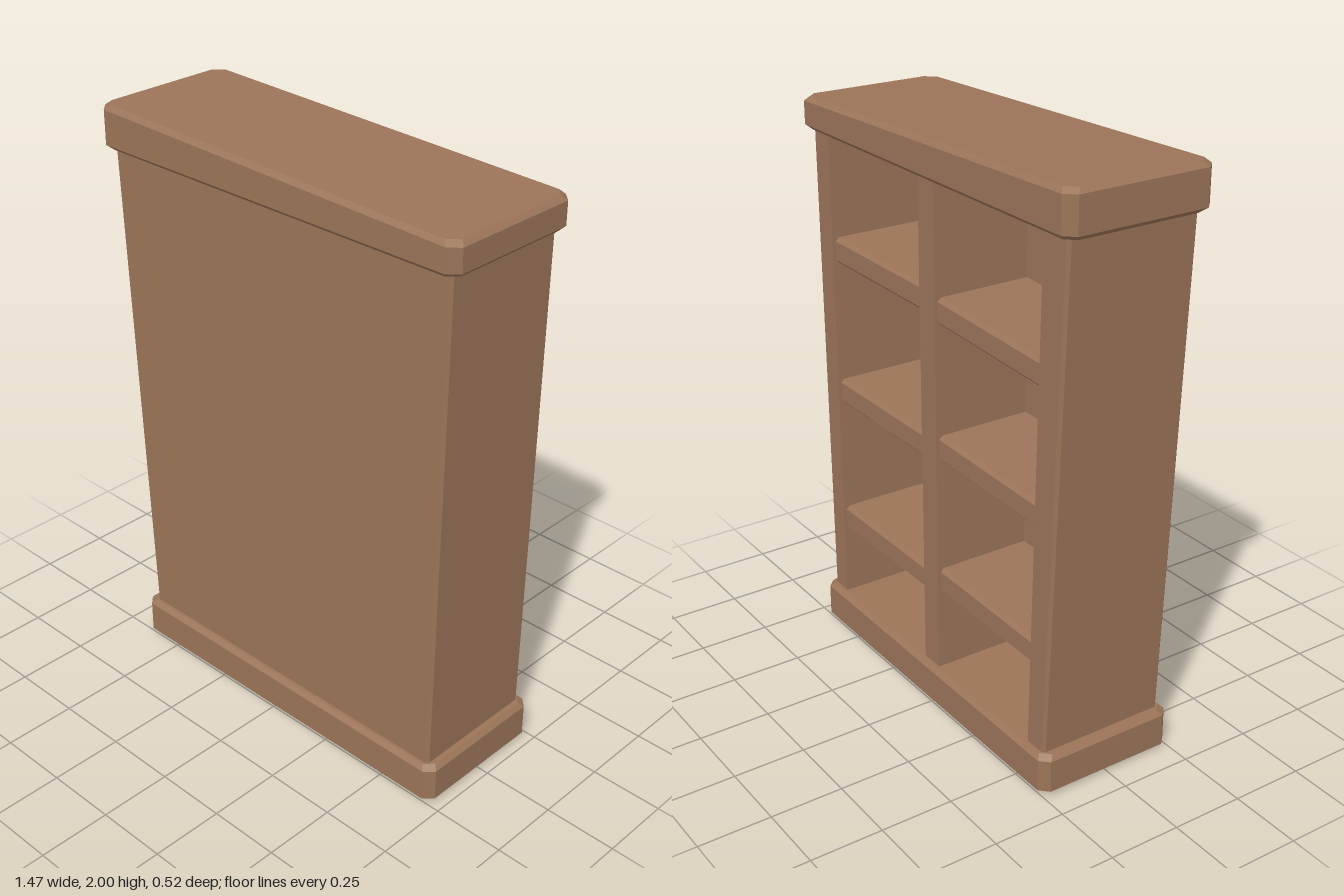
import * as THREE from 'three';

const wood = new THREE.MeshStandardMaterial({ color: 0x9b7458 });
wood.name = 'brown wood';

// Skin a stack of rings (bottom to top, each counter-clockwise from above) with flat faces
function loft(name, rings, capped = true) {
  const pos = [];
  const tri = (a, b, c) => pos.push(...a, ...b, ...c);
  const n = rings[0].length;
  for (let r = 0; r < rings.length - 1; r++) {
    for (let i = 0; i < n; i++) {
      const j = (i + 1) % n, lo = rings[r], hi = rings[r + 1];
      tri(lo[i], lo[j], hi[j]);
      tri(lo[i], hi[j], hi[i]);
    }
  }
  if (capped) {
    const lo = rings[0], hi = rings[rings.length - 1];
    for (let i = 1; i < n - 1; i++) {
      tri(lo[0], lo[i + 1], lo[i]);
      tri(hi[0], hi[i], hi[i + 1]);
    }
  }
  const geo = new THREE.BufferGeometry();
  geo.setAttribute('position', new THREE.Float32BufferAttribute(pos, 3));
  geo.computeVertexNormals();
  const mesh = new THREE.Mesh(geo, wood);
  mesh.name = name;
  return mesh;
}

// Rectangle with cut corners; its height runs from yl at x0 to yr at x1
function ring(x0, x1, z0, z1, yl, yr, cut) {
  const y = (x) => yl + (yr - yl) * (x - x0) / (x1 - x0);
  return [
    [x0 + cut, z1], [x1 - cut, z1], [x1, z1 - cut], [x1, z0 + cut],
    [x1 - cut, z0], [x0 + cut, z0], [x0, z0 + cut], [x0, z1 - cut],
  ].map(([x, z]) => [x, y(x), z]);
}

// Comb-shaped plan: solid front panel, two side walls and a centre divider
function bodyRing(y, xl, xr, innerL, innerR, div0, div1) {
  const b = 0.01, zf = 0.23, zb = -0.23, zi = 0.12;
  return [
    [xl + b, zf], [xr - b, zf], [xr, zf - b], [xr, zb + b], [xr - b, zb],
    [innerR, zb], [innerR, zi], [div1, zi], [div1, zb],
    [div0, zb], [div0, zi], [innerL, zi], [innerL, zb],
    [xl + b, zb], [xl, zb + b], [xl, zf - b],
  ].map(([x, z]) => [x, y, z]);
}

export function createModel() {
  const model = new THREE.Group();
  model.name = 'bookcase';

  // Leaning carcass, wider at the top
  model.add(loft('carcass', [
    bodyRing(0.1, -0.617, 0.682, -0.535, 0.6, -0.02, 0.065),
    bodyRing(1.88, -0.7, 0.7, -0.585, 0.605, -0.025, 0.06),
  ], false));

  // Plinth with bevelled edges
  model.add(loft('plinth', [
    ring(-0.62, 0.68, -0.225, 0.225, 0, 0, 0.02),
    ring(-0.655, 0.715, -0.255, 0.255, 0.015, 0.015, 0.03),
    ring(-0.655, 0.715, -0.255, 0.255, 0.127, 0.127, 0.03),
    ring(-0.64, 0.7, -0.24, 0.24, 0.142, 0.142, 0.03),
  ]));

  // Cornice with a sloping top
  model.add(loft('cornice', [
    ring(-0.715, 0.715, -0.24, 0.24, 1.85, 1.85, 0.03),
    ring(-0.737, 0.733, -0.261, 0.261, 1.868, 1.868, 0.033),
    ring(-0.737, 0.733, -0.261, 0.261, 1.985, 1.945, 0.033),
    ring(-0.72, 0.718, -0.246, 0.246, 2.0, 1.96, 0.033),
  ]));

  // Three bevelled shelves in each bay: [x0, x1, height of top at x0, at x1]
  const shelves = [
    [0.02, 0.63, 1.49, 1.495], [0.02, 0.63, 0.98, 0.98], [0.02, 0.63, 0.485, 0.485],
    [-0.61, 0.02, 1.45, 1.475], [-0.59, 0.02, 0.99, 1.005], [-0.57, 0.02, 0.51, 0.52],
  ];
  shelves.forEach(([x0, x1, yl, yr], i) => {
    const level = (drop, inset) =>
      ring(x0, x1, -0.218 + inset, 0.16, yl - drop, yr - drop, 0.002);
    model.add(loft(`shelf${i + 1}`, [
      level(0.09, 0.012), level(0.078, 0), level(0.012, 0), level(0, 0.012),
    ]));
  });

  return model;
}
